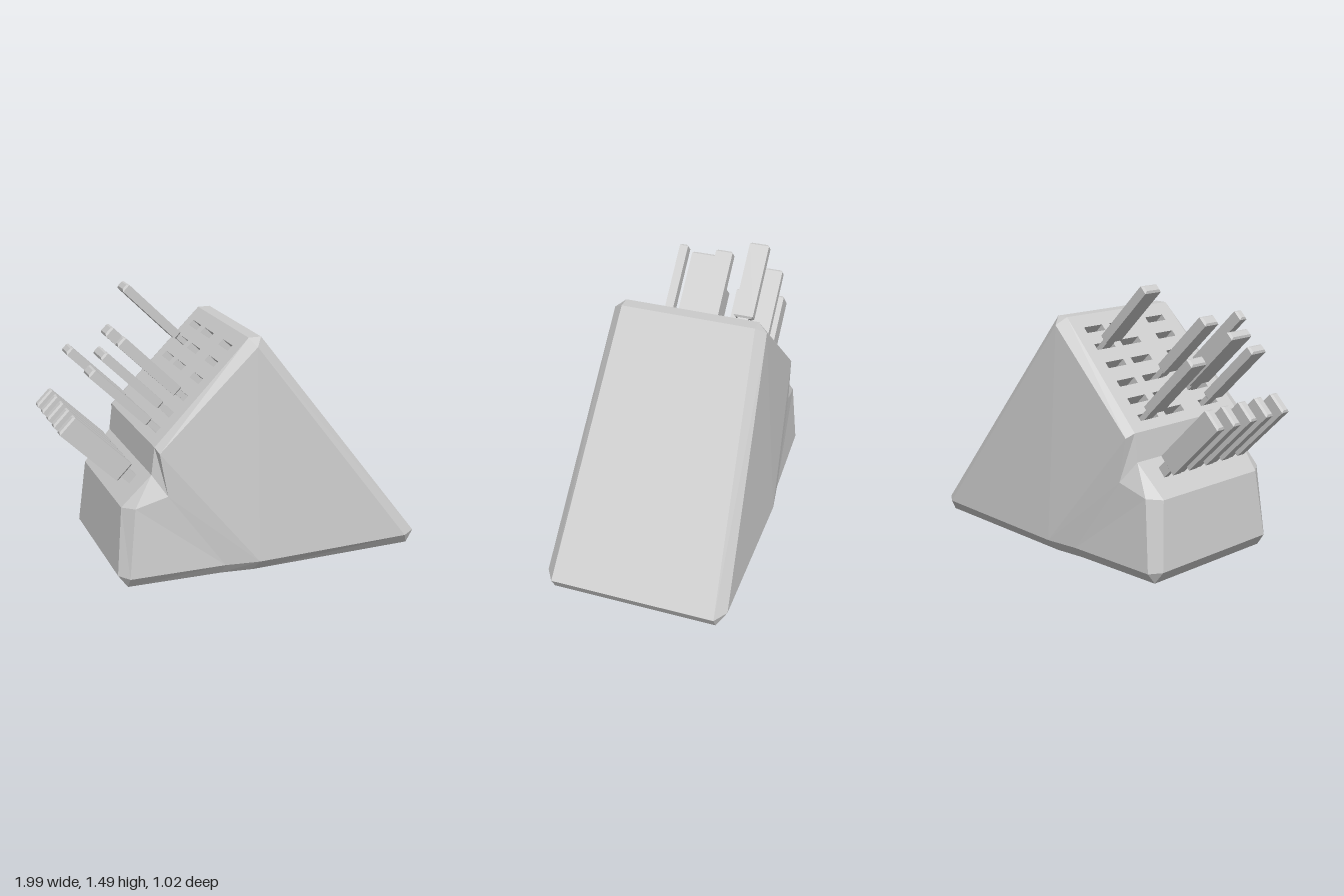
import * as THREE from 'three';

const grey = () => new THREE.MeshStandardMaterial({ color: 0xcccccc, flatShading: true });

// Outer outline of the block [x, y, half width], counter-clockwise from the front
const rim = [
  [-0.70, 0, 0.41], [-0.18, 0, 0.435], [0, 0, 0.46], [0.96, 0, 0.46], [1, 0.07, 0.46],
  [0.07, 1.29, 0.375], [0, 1.29, 0.375], [-0.53, 0.76, 0.39], [-0.55, 0.61, 0.39],
  [-0.71, 0.44, 0.36], [-0.75, 0.07, 0.40],
];
// Matching edge of the side faces, set in by the chamfer
const side = [
  [-0.70, 0.065, 0.46], [-0.17, 0.065, 0.483], [0.02, 0.065, 0.512], [0.92, 0.07, 0.512], [0.92, 0.07, 0.512],
  [0.03, 1.25, 0.43], [0.03, 1.25, 0.43], [-0.52, 0.74, 0.445], [-0.48, 0.5, 0.45],
  [-0.655, 0.45, 0.435], [-0.70, 0.065, 0.46],
];
const SLOT_FACE = 6; // rim edge that carries the slots

function blockGeometry() {
  const pos = [];
  const tri = (a, b, c) => pos.push(...a, ...b, ...c);
  const flip = ([x, y, z]) => [x, y, -z];
  const both = (a, b, c) => { tri(a, b, c); tri(flip(a), flip(c), flip(b)); };
  rim.forEach((a, i) => {
    const j = (i + 1) % rim.length, b = rim[j];
    // chamfers
    both(a, b, side[j]);
    if (side[i].some((v, k) => v !== side[j][k])) both(a, side[j], side[i]);
    // strip across the width
    if (i !== SLOT_FACE) {
      tri(a, flip(a), flip(b));
      tri(a, flip(b), b);
    }
  });
  // side faces: small front step, slanted transition, main body
  for (const [i, j, k] of [[0, 1, 9], [9, 1, 8], [1, 2, 8], [8, 2, 7], [7, 2, 5], [5, 2, 3]]) {
    both(side[i], side[j], side[k]);
  }
  const g = new THREE.BufferGeometry();
  g.setAttribute('position', new THREE.Float32BufferAttribute(pos, 3));
  g.computeVertexNormals();
  return g;
}

// Slot grid in the tilted frame: x runs up the slope, y out of the face
const columns = [-0.475, -0.4, -0.32, -0.235, -0.15, -0.07].map(x => (x + 0.265) * Math.SQRT2);
const rows = [[-0.24, 0.13], [-0.05, 0.14], [0.222, 0.135]];
const SLOT_W = 0.038, SLOT_DEPTH = 0.12;

function slotFace() {
  const h = 0.53 * Math.SQRT1_2;
  const shape = new THREE.Shape([[-h, -0.39], [h, -0.375], [h, 0.375], [-h, 0.39]]
    .map(p => new THREE.Vector2(...p)));
  for (const x of columns) for (const [z, len] of rows) {
    const w = SLOT_W / 2, l = len / 2;
    shape.holes.push(new THREE.Path([[x - w, -z - l], [x - w, -z + l], [x + w, -z + l], [x + w, -z - l]]
      .map(p => new THREE.Vector2(...p))));
  }
  return new THREE.ShapeGeometry(shape).rotateX(-Math.PI / 2);
}

// Open-topped box facing inward
function slotWell(len) {
  const g = new THREE.BoxGeometry(SLOT_W, SLOT_DEPTH, len);
  g.setIndex(Array.from(g.index.array).filter((_, i) => i < 12 || i >= 18).reverse());
  return g;
}

// Handle with chamfered edges plus the neck that enters the slot
function makeKnife(name, thick, width, length, neckThick, neckWidth) {
  const knife = new THREE.Group();
  knife.name = name;
  const c = 0.01, a = thick / 2 - c, b = width / 2 - c;
  const outline = new THREE.Shape([[-a, -b], [a, -b], [a, b], [-a, b]].map(p => new THREE.Vector2(...p)));
  const handleGeo = new THREE.ExtrudeGeometry(outline, {
    depth: length - 2 * c, bevelThickness: c, bevelSize: c, bevelSegments: 1,
  }).rotateX(-Math.PI / 2).translate(0, 0.055 + c, 0);
  const handle = new THREE.Mesh(handleGeo, grey());
  handle.name = 'handle';
  const neck = new THREE.Mesh(new THREE.BoxGeometry(neckThick, 0.16, neckWidth), grey());
  neck.name = 'neck';
  neck.position.y = -0.01;
  knife.add(handle, neck);
  return knife;
}

export function createModel() {
  const model = new THREE.Group();
  model.name = 'knifeBlock';

  const block = new THREE.Mesh(blockGeometry(), grey());
  block.name = 'block';
  model.add(block);

  // Everything on the slope shares one tilted frame
  const slope = new THREE.Group();
  slope.name = 'slope';
  slope.position.set(-0.265, 1.025, 0);
  slope.rotation.z = Math.PI / 4;
  model.add(slope);

  const face = new THREE.Mesh(slotFace(), grey());
  face.name = 'slotFace';
  slope.add(face);

  for (const x of columns) for (const [z, len] of rows) {
    const well = new THREE.Mesh(slotWell(len), grey());
    well.name = 'slot';
    well.position.set(x, -SLOT_DEPTH / 2, z);
    slope.add(well);
  }

  // Large knives: [column, z, handle width, handle thickness]
  for (const [col, z, width, thick] of [
    [4, -0.238, 0.11, 0.05], [2, 0.015, 0.1, 0.06], [2, 0.262, 0.05, 0.06],
    [1, 0.162, 0.155, 0.05], [0, -0.243, 0.11, 0.05], [0, 0.213, 0.11, 0.05],
  ]) {
    const knife = makeKnife('largeKnife', thick, width, 0.43, 0.03, Math.min(0.06, width * 0.7));
    knife.position.set(columns[col], 0, z);
    slope.add(knife);
  }

  // Row of small knives in the front step
  for (const z of [-0.26, -0.14, -0.013, 0.112, 0.24]) {
    const knife = makeKnife('smallKnife', 0.12, 0.053, 0.43, 0.06, 0.03);
    knife.position.set(-0.583, -0.088, z);
    slope.add(knife);
  }
  return model;
}
